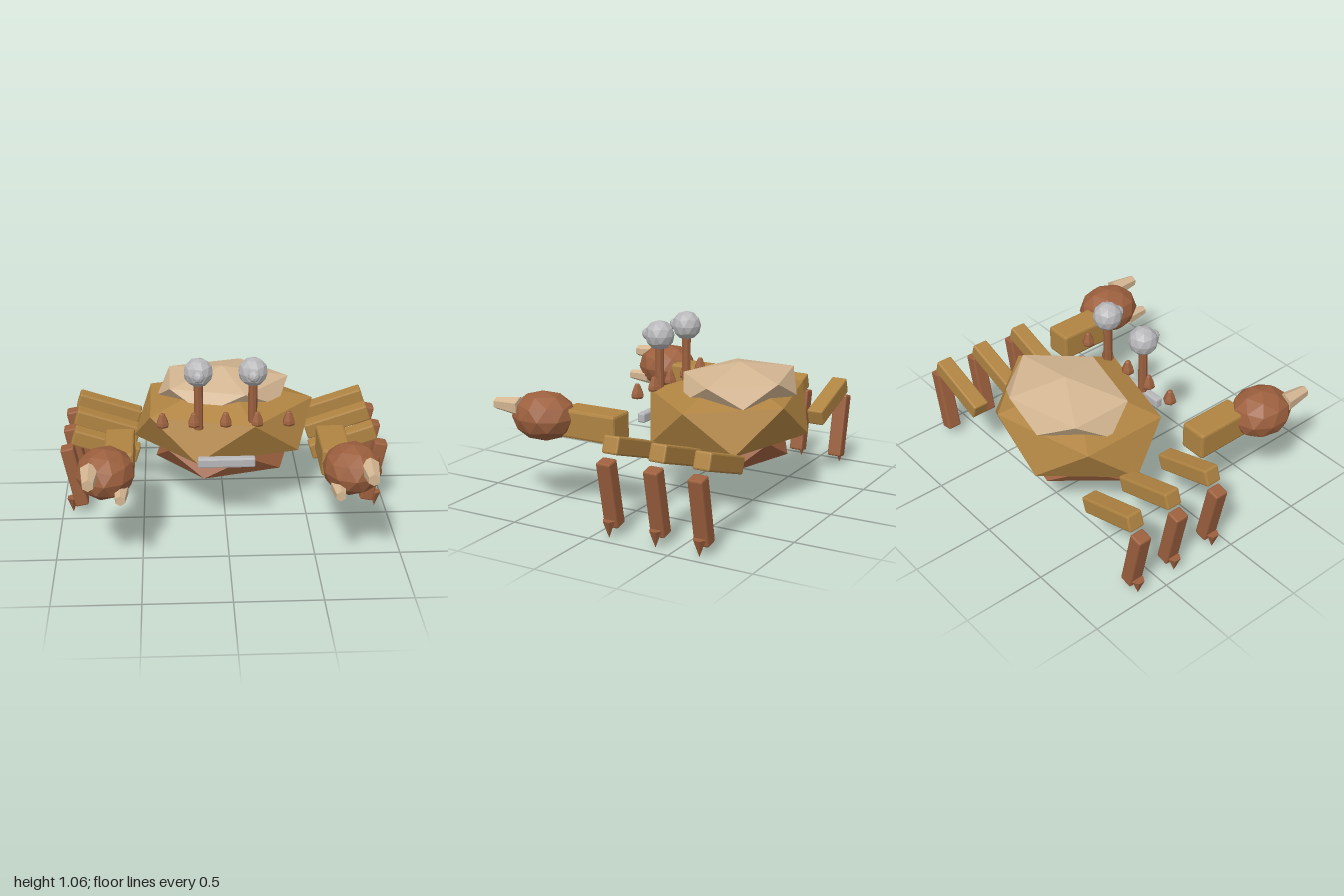
import * as THREE from 'three';
import { RoundedBoxGeometry } from 'three/addons/geometries/RoundedBoxGeometry.js';

function flat(name, color) {
  const m = new THREE.MeshStandardMaterial({ color, flatShading: true });
  m.name = name;
  return m;
}

export function createModel() {
  const gold = flat('gold', 0xb08442);
  const rust = flat('rust', 0x9c603e);
  const sand = flat('sand', 0xd4b692);
  const grey = flat('grey', 0xb8b8ba);
  const crab = new THREE.Group();
  crab.name = 'crab';

  function add(name, geometry, material, x, y, z, parent = crab) {
    const mesh = new THREE.Mesh(geometry, material);
    mesh.name = name;
    mesh.position.set(x, y, z);
    parent.add(mesh);
    return mesh;
  }
  // Faceted ball with one vertex straight up, stretched to the given radii
  const pole = -Math.atan(2 / (1 + Math.sqrt(5)));
  const ball = (rx, ry, rz, detail) =>
    new THREE.IcosahedronGeometry(1, detail).rotateZ(pole).scale(rx, ry, rz);
  // Box with chamfered edges
  const block = (w, h, d, bevel = 0.01) => new RoundedBoxGeometry(w, h, d, 1, bevel);

  // Body: three flattened icosahedra
  add('body', ball(0.62, 0.262, 0.51, 0), gold, 0, 0.523, -0.335);
  add('shell', ball(0.455, 0.13, 0.36, 0), sand, 0, 0.702, -0.405);
  add('belly', ball(0.47, 0.145, 0.41, 0), rust, 0, 0.34, -0.31);
  add('mouth', block(0.34, 0.06, 0.05), grey, 0, 0.45, 0.17);

  // Row of spikes along the front of the body
  for (let i = -2; i <= 2; i++) {
    const spike = new THREE.LatheGeometry([
      [0, -0.042], [0.034, -0.042], [0.04, -0.03], [0.036, -0.012], [0.016, 0.036], [0.01, 0.042], [0, 0.042],
    ].map(([r, y]) => new THREE.Vector2(r, y)), 6);
    add('frontSpike', spike, rust, i * 0.187, 0.68, 0.065);
  }

  for (const s of [-1, 1]) {
    const side = s > 0 ? 'left' : 'right';

    // Eye on a stalk
    const eye = new THREE.Group();
    eye.name = side + 'Eye';
    crab.add(eye);
    add('eyeStalk', new THREE.CylinderGeometry(0.027, 0.027, 0.32, 8), rust, s * 0.16, 0.77, 0.043, eye);
    add('eyeball', ball(0.088, 0.088, 0.088, 1), grey, s * 0.16, 0.97, 0.042, eye);
    add('pupil', ball(0.036, 0.036, 0.036, 1), grey, s * 0.16, 0.97, 0.12, eye);

    // Arm with claw and two blunt fingers
    const arm = new THREE.Group();
    arm.name = side + 'Arm';
    crab.add(arm);
    add('forearm', block(0.17, 0.168, 0.36, 0.015), gold, s * 0.625, 0.527, 0.195, arm);
    add('claw', ball(0.17, 0.145, 0.195, 1), rust, s * 0.698, 0.553, 0.49, arm);
    const finger = (r0, r1, length) =>
      new THREE.CylinderGeometry(r1, r0, length, 6).rotateX(Math.PI / 2);
    add('upperFinger', finger(0.057, 0.035, 0.17), sand, s * 0.78, 0.61, 0.682, arm);
    add('lowerFinger', finger(0.048, 0.03, 0.14), sand, s * 0.61, 0.487, 0.645, arm);

    // Three jointed legs
    for (const z of [-0.094, -0.388, -0.656]) {
      const leg = new THREE.Group();
      leg.name = side + 'Leg';
      crab.add(leg);
      add('upperLeg', block(0.41, 0.1, 0.1), gold, s * 0.72, 0.46, z, leg).rotation.z = s * 0.32;
      add('lowerLeg', block(0.082, 0.395, 0.088), rust, s * 0.918, 0.252, z, leg).rotation.z = -s * 0.2;
      add('foot', new THREE.ConeGeometry(0.038, 0.1, 6).rotateX(Math.PI), rust, s * 0.937, 0.05, z, leg);
    }
  }
  return crab;
}
